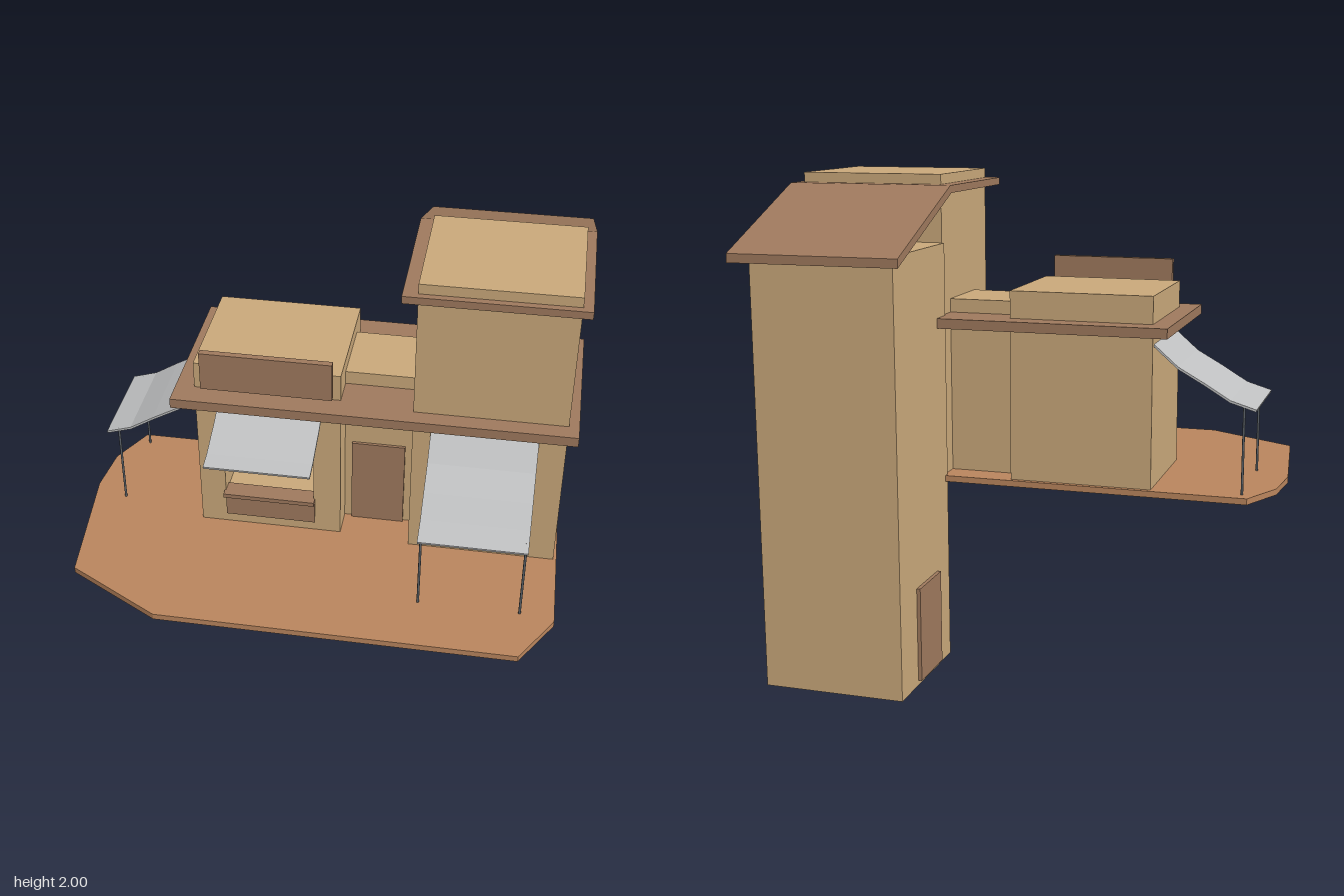
import * as THREE from 'three';

const mat = (name, color) => {
  const m = new THREE.MeshStandardMaterial({ color });
  m.name = name;
  return m;
};

export function createModel() {
  const plaster = mat('tan plaster', 0xc9a87a);
  const wood = mat('brown wood', 0x9e795d);
  const clay = mat('clay deck', 0xb9855d);
  const cloth = mat('grey cloth', 0xbfc0c1);
  const metal = mat('dark metal', 0x5c6268);
  const model = new THREE.Group();

  const add = (name, geometry, material, parent = model) => {
    const mesh = new THREE.Mesh(geometry, material);
    mesh.name = name;
    parent.add(mesh);
    return mesh;
  };
  // Box given by its extents on each axis
  const box = (name, material, [x0, x1], [y0, y1], [z0, z1]) => {
    const mesh = add(name, new THREE.BoxGeometry(x1 - x0, y1 - y0, z1 - z0), material);
    mesh.position.set((x0 + x1) / 2, (y0 + y1) / 2, (z0 + z1) / 2);
    return mesh;
  };
  const shapeOf = (pts) => new THREE.Shape(pts.map(([x, y]) => new THREE.Vector2(x, y)));
  const extrude = (shape, depth) => new THREE.ExtrudeGeometry(shape, { depth, bevelEnabled: false });

  // Deck
  const deckOutline = [[-0.89, -0.28], [-0.98, -0.1], [-1, 0.1], [-0.94, 0.645], [-0.56, 0.857],
    [0.845, 0.857], [0.97, 0.645], [0.96, 0.12], [0.95, -0.26], [0.35, -0.28]];
  const deck = add('deck', extrude(shapeOf(deckOutline), 0.025), clay);
  deck.rotation.x = Math.PI / 2;
  deck.position.y = 0.78;

  // Towers and link between the houses
  box('rearTower', plaster, [0.35, 0.93], [0, 1.73], [-0.79, -0.255]);
  box('frontTower', plaster, [0.36, 0.95], [0.77, 2], [-0.255, 0.28]);
  box('linkBuilding', plaster, [0.07, 0.365], [0.77, 1.495], [-0.165, 0.13]);

  // Shop with a deep window recess
  const front = shapeOf([[-0.505, 0.77], [0.075, 0.77], [0.075, 1.55], [-0.505, 1.55]]);
  front.holes.push(shapeOf([[-0.4, 0.925], [-0.4, 1.31], [-0.035, 1.31], [-0.035, 0.925]]));
  add('shopFront', extrude(front, 0.27), plaster).position.z = -0.02;
  box('shopRear', plaster, [-0.505, 0.075], [0.77, 1.55], [-0.26, -0.02]);
  box('shopCounter', wood, [-0.405, -0.03], [0.922, 0.94], [0.2, 0.28]);
  box('counterPanel', wood, [-0.4, -0.03], [0.82, 0.922], [0.245, 0.256]);
  box('signBoard', wood, [-0.465, 0.05], [1.475, 1.635], [0.283, 0.31]);

  // Doors
  box('linkDoor', wood, [0.105, 0.32], [0.78, 1.16], [0.12, 0.142]);
  box('towerDoor', wood, [0.335, 0.355], [0.02, 0.405], [-0.62, -0.39]);

  // Roofs
  box('lowerRoof', wood, [-0.58, 0.99], [1.4, 1.44], [-0.35, 0.35]);
  const roofProfile = [[0.308, 1.93], [0.308, 1.96], [-0.3, 1.96], [-0.855, 1.73], [-0.855, 1.695], [-0.29, 1.93]];
  const roof = add('upperRoof', extrude(shapeOf(roofProfile), 0.685), wood);
  roof.rotation.y = -Math.PI / 2;
  roof.position.x = 0.988;

  // Sagging awning running outward along local +x, with optional posts
  const sag = [[0, 0], [0.24, -0.36], [0.51, -0.62], [0.75, -0.87], [1, -1]];
  const awning = (name, reach, drop, width, position, turn, posts) => {
    const group = new THREE.Group();
    group.name = name;
    const top = sag.map(([d, y]) => [d * reach, y * drop]);
    const under = top.map(([d, y]) => [d - 0.002, y - 0.009]).reverse();
    const sheet = extrude(shapeOf([...top, ...under]), width).translate(0, 0, -width / 2);
    add('awningCloth', sheet, cloth, group);
    if (posts) {
      const height = position[1] - 0.9 * drop - 0.78 - 0.01;
      for (const side of [-1, 1]) {
        const post = add('awningPost', new THREE.CylinderGeometry(0.005, 0.005, height, 8), metal, group);
        post.position.set(reach * 0.88, 0.78 - position[1] + height / 2, side * (width / 2 - 0.01));
      }
    }
    group.position.set(...position);
    group.rotation.y = turn;
    model.add(group);
  };
  awning('towerAwning', 0.387, 0.235, 0.415, [0.638, 1.357, 0.279], -Math.PI / 2, true);
  awning('shopAwning', 0.278, 0.107, 0.415, [-0.207, 1.371, 0.249], -Math.PI / 2, false);
  awning('sideAwning', 0.407, 0.237, 0.41, [-0.504, 1.36, -0.03], Math.PI, true);

  return model;
}
